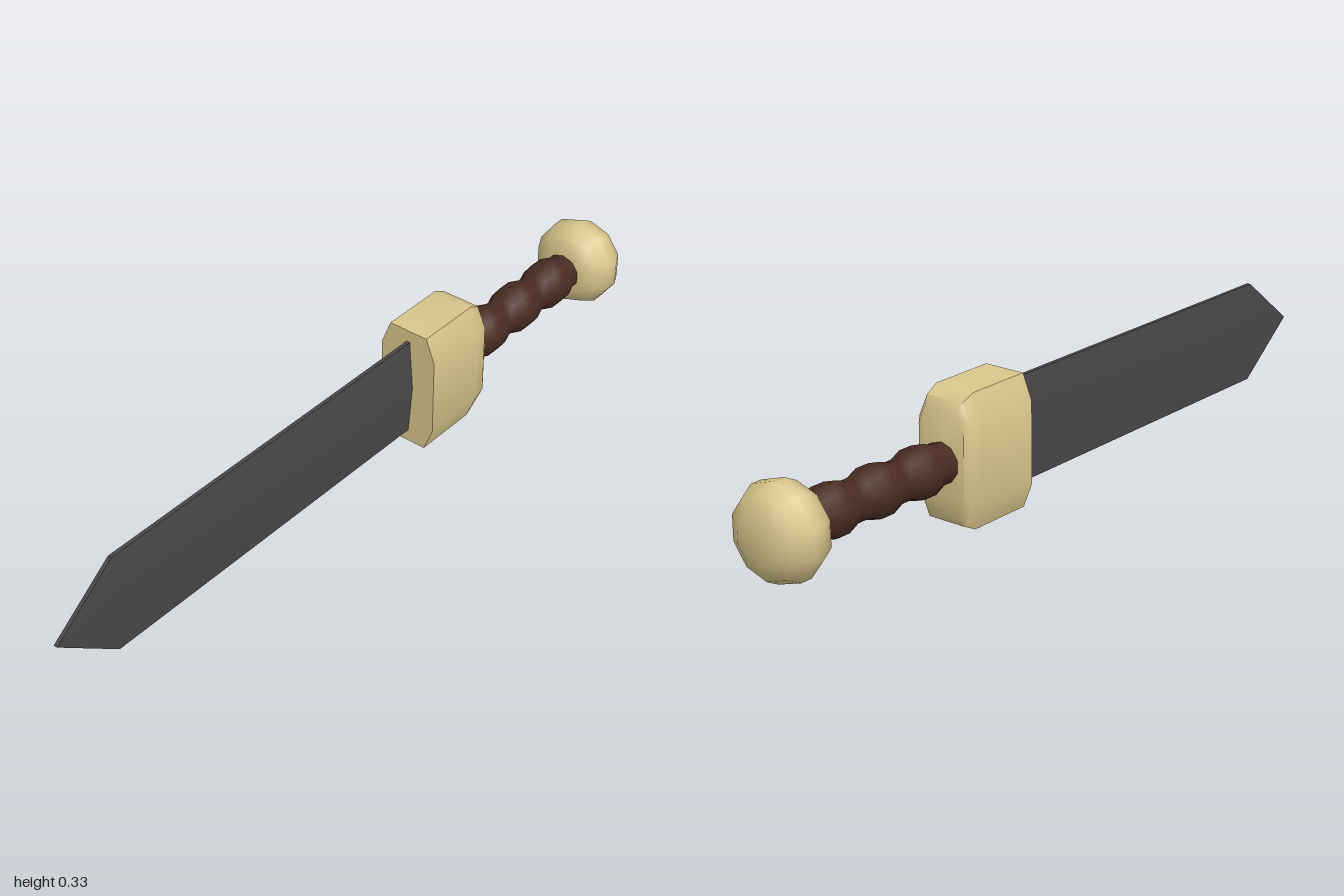
import * as THREE from 'three';
import { toCreasedNormals } from 'three/addons/utils/BufferGeometryUtils.js';

const CENTER_Y = 0.165;

const brass = new THREE.MeshStandardMaterial({ color: 0xd9c68c });
const steel = new THREE.MeshStandardMaterial({ color: 0x484848 });
const leather = new THREE.MeshStandardMaterial({ color: 0x4a2c22 });

// Skin a series of { z, ring } sections (rings counter-clockwise, z ascending) and cap both ends.
function loft(sections, crease) {
  const n = sections[0].ring.length;
  const last = (sections.length - 1) * n;
  const positions = sections.flatMap(({ z, ring }) => ring.flatMap(([x, y]) => [x, y, z]));
  const index = [];
  for (let s = 0; s < last; s += n) {
    for (let i = 0; i < n; i++) {
      const a = s + i, b = s + (i + 1) % n;
      index.push(a, b, b + n, a, b + n, a + n);
    }
  }
  for (let i = 1; i < n - 1; i++) {
    index.push(0, i + 1, i, last, last + i, last + i + 1);
  }
  const geometry = new THREE.BufferGeometry();
  geometry.setAttribute('position', new THREE.Float32BufferAttribute(positions, 3));
  geometry.setIndex(index);
  return toCreasedNormals(geometry, crease);
}

// Turn a [radius, z] profile (z ascending) around the sword's long axis.
function turned(profile, sides) {
  const points = profile.map(([r, z]) => new THREE.Vector2(r, z));
  return new THREE.LatheGeometry(points, sides).rotateX(Math.PI / 2);
}

// Flat hexagon: thick at the central ridge, thin at the two cutting edges.
function bladeRing(ridge, edge, h) {
  return [[ridge, 0], [edge, h], [-edge, h], [-ridge, 0], [-edge, -h], [edge, -h]];
}

// Tall octagon with its corners cut off.
function guardRing(w, h, topW, sideH) {
  return [
    [w, -sideH], [w, sideH], [topW, h], [-topW, h],
    [-w, sideH], [-w, -sideH], [-topW, -h], [topW, -h],
  ];
}

export function createModel() {
  const sword = new THREE.Group();
  sword.name = 'shortSword';
  const add = (name, geometry, material) => {
    const mesh = new THREE.Mesh(geometry, material);
    mesh.name = name;
    mesh.position.y = CENTER_Y;
    sword.add(mesh);
  };

  // Blade: straight sides, then a short point
  add('blade', loft([
    { z: -0.22, ring: bladeRing(0.016, 0.005, 0.133) },
    { z: 0.825, ring: bladeRing(0.016, 0.005, 0.133) },
    { z: 1, ring: bladeRing(0.005, 0.005, 0) },
  ], 0.6), steel);

  // Guard: octagonal block, bevelled on the grip side
  add('guard', loft([
    { z: -0.42, ring: guardRing(0.066, 0.125, 0.045, 0.08) },
    { z: -0.405, ring: guardRing(0.076, 0.148, 0.052, 0.094) },
    { z: -0.37, ring: guardRing(0.08, 0.165, 0.055, 0.102) },
    { z: -0.195, ring: guardRing(0.08, 0.165, 0.055, 0.102) },
  ], 0.9), brass);

  // Grip: three rounded swellings
  const grip = [[0.05, -0.87]];
  for (const z of [-0.78, -0.64, -0.5]) {
    grip.push([0.05, z - 0.055], [0.062, z - 0.02], [0.062, z + 0.02], [0.05, z + 0.055]);
  }
  grip.push([0.05, -0.41]);
  add('grip', turned(grip, 10), leather);

  // Pommel: flattened ball
  add('pommel', turned([
    [0, -1], [0.055, -1], [0.098, -0.974], [0.116, -0.94],
    [0.116, -0.91], [0.098, -0.874], [0.06, -0.852], [0, -0.852],
  ], 10), brass);

  return sword;
}
